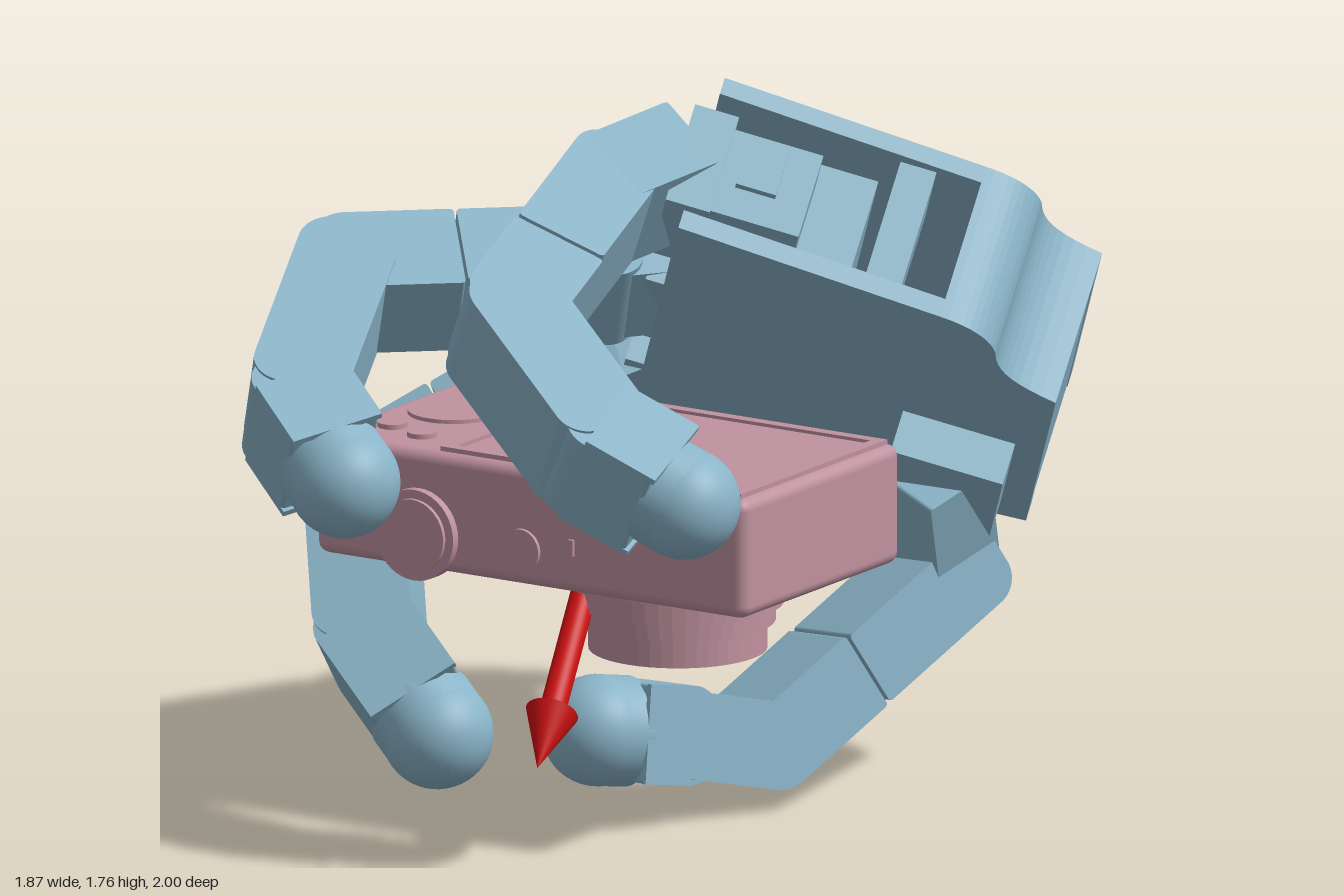
import * as THREE from 'three';
import { RoundedBoxGeometry } from 'three/addons/geometries/RoundedBoxGeometry.js';

const V = (x, y, z) => new THREE.Vector3(x, y, z);
const blue = new THREE.MeshStandardMaterial({ color: 0x8ab4c8 });
const mauve = new THREE.MeshStandardMaterial({ color: 0xc092a0 });
const red = new THREE.MeshStandardMaterial({ color: 0xcc1010 });

function add(parent, name, geometry, material, x = 0, y = 0, z = 0) {
  const mesh = new THREE.Mesh(geometry, material);
  mesh.name = name;
  mesh.position.set(x, y, z);
  parent.add(mesh);
  return mesh;
}

// Box given by its min and max corners
function block(parent, name, [x0, y0, z0], [x1, y1, z1], material = blue) {
  return add(parent, name, new THREE.BoxGeometry(x1 - x0, y1 - y0, z1 - z0), material,
    (x0 + x1) / 2, (y0 + y1) / 2, (z0 + z1) / 2);
}

function cylinder(parent, name, r, h, material, x, y, z, axis = 'y') {
  const g = new THREE.CylinderGeometry(r, r, h, 40);
  if (axis === 'x') g.rotateZ(-Math.PI / 2);
  if (axis === 'z') g.rotateX(Math.PI / 2);
  return add(parent, name, g, material, x, y, z);
}

// Group with local x along the given direction and local z near the given axis
function frame(name, origin, along, axis) {
  const x = along.clone().normalize();
  const z = axis.clone().addScaledVector(x, -axis.dot(x)).normalize();
  const y = z.clone().cross(x);
  const g = new THREE.Group();
  g.name = name;
  g.quaternion.setFromRotationMatrix(new THREE.Matrix4().makeBasis(x, y, z));
  g.position.copy(origin);
  return g;
}

// Side profile with separate corner radii at the two ends, extruded across the finger
function linkGeometry(x0, x1, thick, width, ra, rb) {
  const h = thick / 2, s = new THREE.Shape();
  s.moveTo(x0 + ra, -h);
  s.lineTo(x1 - rb, -h);
  s.absarc(x1 - rb, -h + rb, rb, -Math.PI / 2, 0);
  s.absarc(x1 - rb, h - rb, rb, 0, Math.PI / 2);
  s.lineTo(x0 + ra, h);
  s.absarc(x0 + ra, h - ra, ra, Math.PI / 2, Math.PI);
  s.absarc(x0 + ra, -h + ra, ra, Math.PI, Math.PI * 1.5);
  const g = new THREE.ExtrudeGeometry(s, { depth: width, bevelEnabled: false, curveSegments: 8 });
  return g.translate(0, 0, -width / 2);
}

// Base point, three joints and tip centre make one digit
function makeFinger(name, [base, j1, j2, j3, tip], baseWidth = 0.22, thick = 0.24) {
  const finger = new THREE.Group();
  finger.name = name;
  const axis = j2.clone().sub(j1).cross(j3.clone().sub(j2)).normalize();
  const link = (part, a, b, build) => {
    const dir = b.clone().sub(a), g = frame(part, a, dir, axis);
    build(g, dir.length());
    finger.add(g);
  };
  link('knuckle', base, j1, (g, n) => {
    add(g, 'knuckleBlock', linkGeometry(-0.04, n + 0.06, thick - 0.02, baseWidth, 0.01, 0.08), blue);
  });
  link('proximalLink', j1, j2, (g, n) => {
    add(g, 'proximalBody', linkGeometry(-0.09, n * 0.55, thick - 0.01, 0.25, 0.07, 0.01), blue);
    add(g, 'proximalEnd', linkGeometry(n * 0.56, n + 0.08, thick, 0.24, 0.01, 0.09), blue);
  });
  link('middleLink', j2, j3, (g, n) => {
    add(g, 'middleBody', linkGeometry(-0.09, n + 0.04, thick, 0.255, 0.09, 0.07), blue);
  });
  link('distalLink', j3, tip, (g, n) => {
    add(g, 'distalBody', linkGeometry(-0.08, n - 0.07, 0.24, 0.24, 0.08, 0.01), blue);
    for (const s of [-1, 1]) block(g, 'distalPlate', [0, -0.12, s * 0.125 - 0.008], [n - 0.06, 0.12, s * 0.125 + 0.008]);
    cylinder(g, 'tipNeck', 0.134, 0.08, blue, n - 0.04, 0, 0, 'x');
    add(g, 'fingertip', new THREE.SphereGeometry(0.135, 40, 24), blue, n, 0, 0);
  });
  return finger;
}

function makePalm() {
  // Local x runs finger end to wrist, y across the knuckles, z out of the back of the hand
  const palm = frame('palm', V(0.2, 1.765, -0.035), V(0.853, -0.271, -0.448), V(-0.142, 0.702, -0.695));
  // Curved edge between the knuckle side and the wrist
  const curvedEdge = (s) => {
    s.bezierCurveTo(0.73, 0.06, 0.79, 0.09, 0.81, 0.15);
    s.bezierCurveTo(0.82, 0.22, 0.84, 0.27, 0.98, 0.31);
  };
  const outline = (notched) => {
    const s = new THREE.Shape();
    s.moveTo(0, 0);
    s.lineTo(0.66, 0.055);
    curvedEdge(s);
    s.lineTo(0.98, 0.93);
    if (notched) {
      s.lineTo(0.87, 0.93);
      s.lineTo(0.88, 0.73);
      s.lineTo(0.46, 0.72);
      s.quadraticCurveTo(0.43, 0.72, 0.43, 0.76);
      s.lineTo(0.45, 1.06);
      s.quadraticCurveTo(0.45, 1.2, 0.34, 1.21);
      s.lineTo(0.03, 1.21);
      s.quadraticCurveTo(0, 1.21, 0, 1.18);
    } else {
      s.lineTo(0.4, 1.0);
      s.lineTo(0, 1.0);
    }
    s.closePath();
    return s;
  };
  const slab = (shape, depth) => new THREE.ExtrudeGeometry(shape, { depth, bevelEnabled: false, curveSegments: 10 });
  add(palm, 'backPlate', slab(outline(true), 0.045), blue, 0, 0, -0.045);
  add(palm, 'palmPlate', slab(outline(false), 0.05), blue, 0, 0, -0.425);
  const wall = new THREE.Shape();
  wall.moveTo(0.66, 0.055);
  curvedEdge(wall);
  wall.lineTo(0.98, 0.36);
  wall.lineTo(0.8, 0.3);
  wall.lineTo(0.74, 0.14);
  wall.closePath();
  add(palm, 'curvedWall', slab(wall, 0.34), blue, 0, 0, -0.38);
  block(palm, 'core', [0.03, 0.2, -0.38], [0.42, 0.98, -0.04]);
  block(palm, 'wristWall', [0.88, 0.315, -0.38], [0.978, 0.928, -0.04]);
  // Motor housing seen in the notch
  block(palm, 'notchHousing', [0.44, 0.64, -0.28], [0.88, 0.92, -0.07]);
  block(palm, 'middleRib', [0.46, 0.07, -0.38], [0.55, 0.3, -0.04]);
  block(palm, 'sideMotor', [0.06, 0.05, -0.33], [0.28, 0.21, -0.1]);
  block(palm, 'sideBracket', [0.1, 0.03, -0.25], [0.2, 0.06, -0.13]);
  // Mounts where the three fingers join
  for (const y of [0.18, 0.6, 1.02]) {
    block(palm, 'fingerMount', [-0.05, y - 0.14, -0.34], [0.06, y + 0.14, -0.07]);
  }
  // Thumb motor under the wrist end
  block(palm, 'thumbMount', [0.63, 0.57, -0.54], [0.91, 0.87, -0.42]);
  return palm;
}

function makeCamera() {
  const cam = new THREE.Group();
  cam.name = 'camera';
  add(cam, 'body', new RoundedBoxGeometry(1.23, 0.295, 0.69, 3, 0.03), mauve, 0.075, 0.778, 0.285);
  // Rear screen with a raised frame, facing up
  add(cam, 'screen', new THREE.BoxGeometry(0.78, 0.012, 0.56), mauve, 0.235, 0.925, 0.285);
  const rim = new THREE.Shape();
  rim.moveTo(-0.43, -0.32).lineTo(0.43, -0.32).lineTo(0.43, 0.32).lineTo(-0.43, 0.32).closePath();
  const hole = new THREE.Path();
  hole.moveTo(-0.4, -0.29).lineTo(-0.4, 0.29).lineTo(0.4, 0.29).lineTo(0.4, -0.29).closePath();
  rim.holes.push(hole);
  const rimMesh = add(cam, 'screenFrame', new THREE.ExtrudeGeometry(rim, { depth: 0.014, bevelEnabled: false }), mauve, 0.235, 0.922, 0.285);
  rimMesh.rotation.x = -Math.PI / 2;
  // Controls beside the screen
  cylinder(cam, 'controlRing', 0.11, 0.02, mauve, -0.37, 0.925, 0.28);
  for (const [x, z] of [[-0.42, 0.47], [-0.31, 0.51], [-0.42, 0.09], [-0.31, 0.05]]) cylinder(cam, 'button', 0.036, 0.025, mauve, x, 0.925, z);
  // Controls on the long edge
  cylinder(cam, 'modeDial', 0.112, 0.035, mauve, -0.24, 0.72, 0.635, 'z');
  cylinder(cam, 'dialCap', 0.09, 0.05, mauve, -0.24, 0.72, 0.638, 'z');
  cylinder(cam, 'shutterButton', 0.052, 0.03, mauve, 0.055, 0.72, 0.625, 'z');
  block(cam, 'powerSlot', [-0.475, 0.73, 0.62], [-0.36, 0.76, 0.64], mauve);
  block(cam, 'indicator', [0.19, 0.725, 0.62], [0.205, 0.765, 0.64], mauve);
  // Stepped lens pointing down, with a hollow front
  const profile = [[0.29, 0.65], [0.29, 0.615], [0.255, 0.61], [0.255, 0.555], [0.235, 0.55], [0.235, 0.51],
    [0.215, 0.505], [0.215, 0.44], [0.17, 0.44], [0.13, 0.475], [0.08, 0.475], [0, 0.465]];
  const pts = profile.reverse().map(([r, y]) => new THREE.Vector2(r, y));
  const lens = new THREE.LatheGeometry(pts, 48).toNonIndexed();
  lens.computeVertexNormals();
  add(cam, 'lens', lens, mauve, 0.278, 0, 0.29);
  return cam;
}

function makeArrow() {
  const start = V(0.1, 0.71, 0.36), end = V(0.235, 0.25, 0.84);
  const dir = end.clone().sub(start), n = dir.length();
  const arrow = frame('arrow', start, dir, V(1, 0, 0));
  cylinder(arrow, 'arrowShaft', 0.032, n - 0.13, red, (n - 0.13) / 2, 0, 0, 'x');
  add(arrow, 'arrowHead', new THREE.ConeGeometry(0.064, 0.16, 32).rotateZ(-Math.PI / 2), red, n - 0.08, 0, 0);
  return arrow;
}

export function createModel() {
  const model = new THREE.Group();
  model.name = 'robotHandWithCamera';
  model.add(makePalm(), makeCamera(), makeArrow());
  model.add(makeFinger('firstFinger', [V(0.09, 1.53, 0.03), V(0.015, 1.49, 0.21), V(0.07, 1.285, 0.73), V(0.41, 1.06, 0.86), V(0.63, 0.95, 0.8)], 0.25));
  model.add(makeFinger('middleFinger', [V(-0.07, 1.22, -0.22), V(-0.19, 1.215, -0.08), V(-0.65, 1.22, 0.34), V(-0.55, 1.0, 0.7), V(-0.35, 0.865, 0.79)]));
  model.add(makeFinger('lastFinger', [V(-0.28, 0.957, -0.46), V(-0.4, 0.9, -0.33), V(-0.785, 0.61, 0.05), V(-0.64, 0.32, 0.23), V(-0.39, 0.14, 0.32)]));
  model.add(makeFinger('thumb', [V(0.55, 0.72, -0.43), V(0.5, 0.48, -0.55), V(0.31, 0.145, 0), V(0.2, 0.205, 0.23), V(0.12, 0.235, 0.4)], 0.18, 0.21));
  return model;
}
